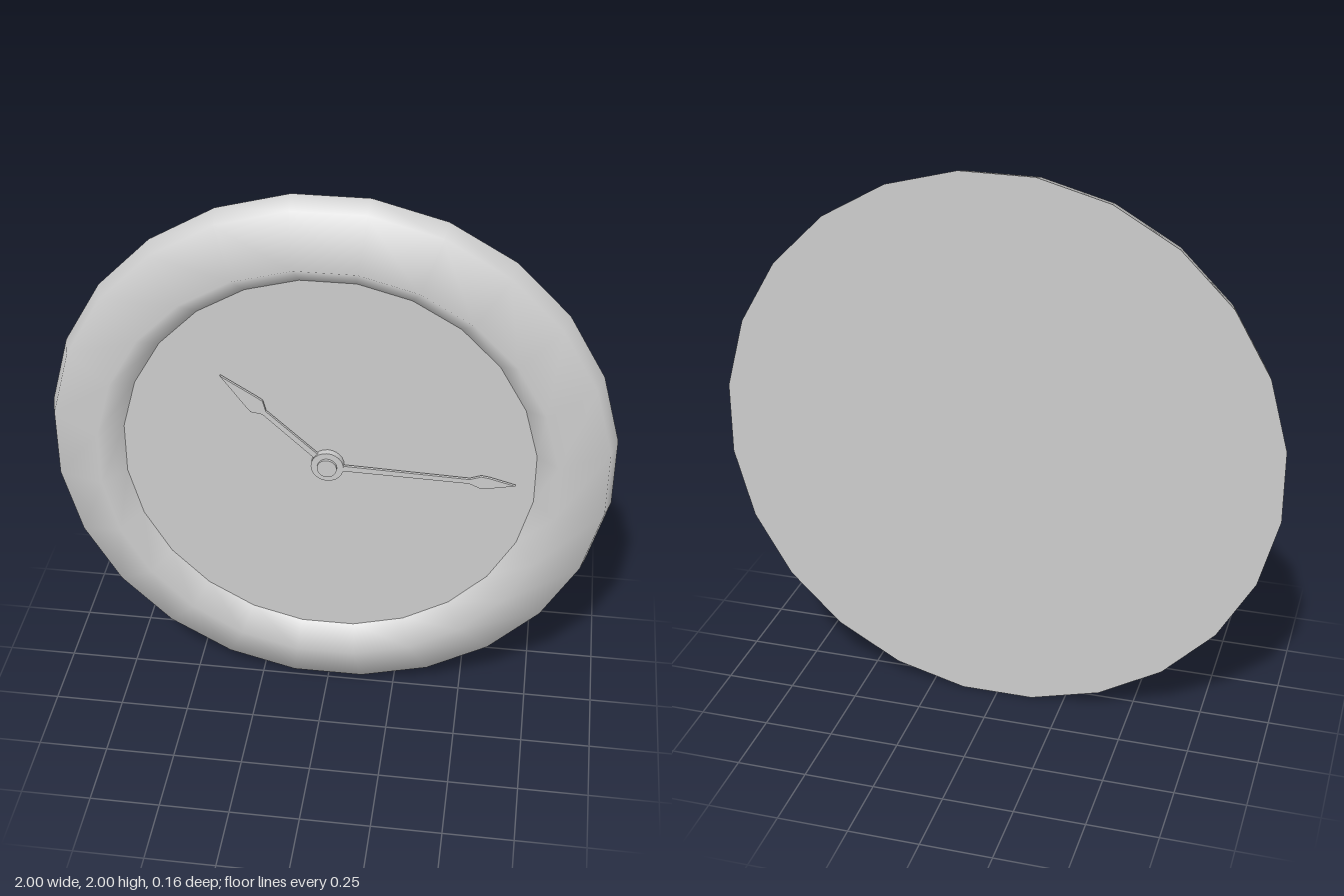
import * as THREE from 'three';

const SIDES = 24;
const DIAL_Z = 0;

export function createModel() {
  const group = new THREE.Group();
  const material = new THREE.MeshStandardMaterial({ color: 0xcccccc });
  const add = (name, geometry) => {
    const mesh = new THREE.Mesh(geometry, material);
    mesh.name = name;
    group.add(mesh);
    return mesh;
  };
  const halfStep = Math.PI / SIDES;

  // Rounded rim, turned so flat sides face up, down, left and right
  const profile = [[1.0086, -0.08], [0.985, 0], [0.81, 0.08], [0.733, DIAL_Z]];
  const rim = new THREE.LatheGeometry(profile.map(([r, z]) => new THREE.Vector2(r, z)), SIDES);
  rim.rotateY(halfStep).rotateX(Math.PI / 2);
  add('rim', rim);

  // Dial and flat back
  const dial = new THREE.CircleGeometry(0.733, SIDES).rotateZ(halfStep);
  add('dial', dial.translate(0, 0, DIAL_Z));
  const back = new THREE.CircleGeometry(1.0086, SIDES).rotateZ(halfStep).rotateY(Math.PI);
  add('back', back.translate(0, 0, -0.08));

  // Hands with arrow-shaped tips: narrow shaft, flared barb, point
  const hand = (name, neck, barb, tip, flare, angle, z) => {
    const upper = [[0, 0.011], [neck, 0.009], [barb, flare], [barb + 0.03, flare * 0.85]];
    const lower = upper.map(([x, y]) => [x, -y]).reverse();
    const outline = [...lower, ...upper].map(([x, y]) => new THREE.Vector2(x, y));
    outline.splice(lower.length, 0);
    const shape = new THREE.Shape();
    shape.moveTo(0, -0.011);
    [...upper.slice(1).map(([x, y]) => [x, -y]), [tip, 0], ...upper.slice().reverse()]
      .forEach(([x, y]) => shape.lineTo(x, y));
    const geometry = new THREE.ExtrudeGeometry(shape, { depth: 0.01, bevelEnabled: false });
    add(name, geometry.rotateZ(angle).translate(0, 0, z));
  };
  hand('hourHand', 0.3, 0.335, 0.505, 0.032, 2.4, DIAL_Z + 0.006);
  hand('minuteHand', 0.5, 0.54, 0.66, 0.025, -0.03, DIAL_Z + 0.014);

  // Hub and centre pin
  const disc = (name, radius, depth) => {
    const geometry = new THREE.CylinderGeometry(radius, radius, depth, SIDES);
    add(name, geometry.rotateX(Math.PI / 2).translate(0, 0, DIAL_Z + depth / 2));
  };
  disc('hub', 0.058, 0.025);
  disc('pin', 0.035, 0.035);

  // Stand the clock on the ground
  group.children.forEach((mesh) => mesh.geometry.translate(0, 1, 0));
  return group;
}
